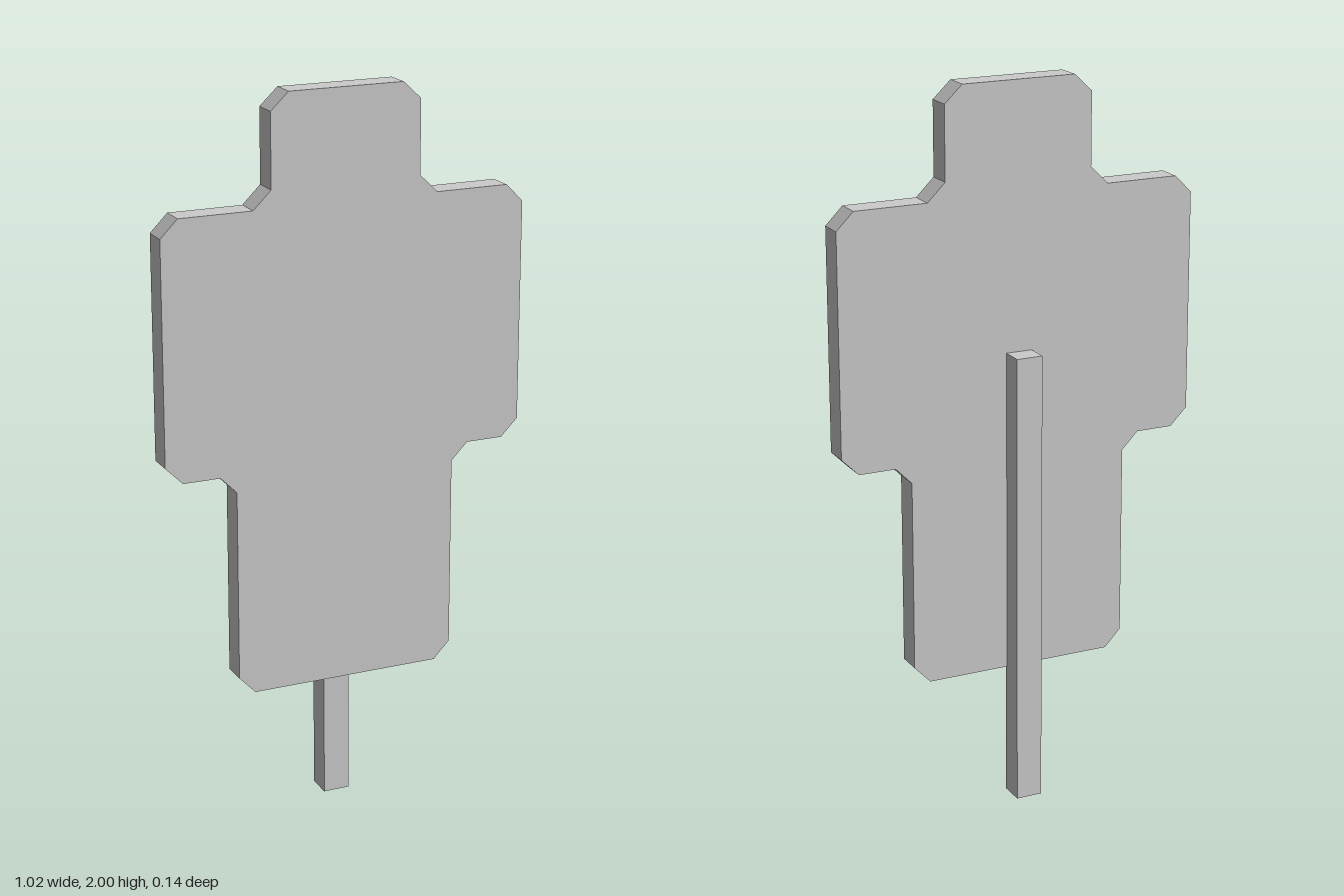
import * as THREE from 'three';

const material = new THREE.MeshStandardMaterial({ color: 0xcccccc, flatShading: true });

// Right half of the outline, from top to bottom; mirrored for the other half
const HALF_OUTLINE = [
  [0.16, 2], [0.21, 1.953], [0.21, 1.752], [0.26, 1.703],     // head and neck
  [0.464, 1.703], [0.512, 1.655], [0.512, 1.048], [0.464, 1], // shoulder and arm
  [0.36, 1], [0.314, 0.953], [0.314, 0.423], [0.268, 0.375],  // lower body
];

function createBoard() {
  const mirrored = HALF_OUTLINE.map(([x, y]) => [-x, y]).reverse();
  const points = [...HALF_OUTLINE, ...mirrored].map(([x, y]) => new THREE.Vector2(x, y));
  const geometry = new THREE.ExtrudeGeometry(new THREE.Shape(points), {
    depth: 0.072,
    bevelEnabled: false,
  });
  const board = new THREE.Mesh(geometry, material);
  board.name = 'silhouetteBoard';
  board.position.z = -0.004;
  return board;
}

function createPost() {
  const height = 1.275;
  const post = new THREE.Mesh(new THREE.BoxGeometry(0.074, height, 0.072), material);
  post.name = 'supportPost';
  post.position.set(0, height / 2, -0.032);
  return post;
}

export function createModel() {
  const model = new THREE.Group();
  model.name = 'standingTarget';
  model.add(createBoard(), createPost());
  return model;
}
